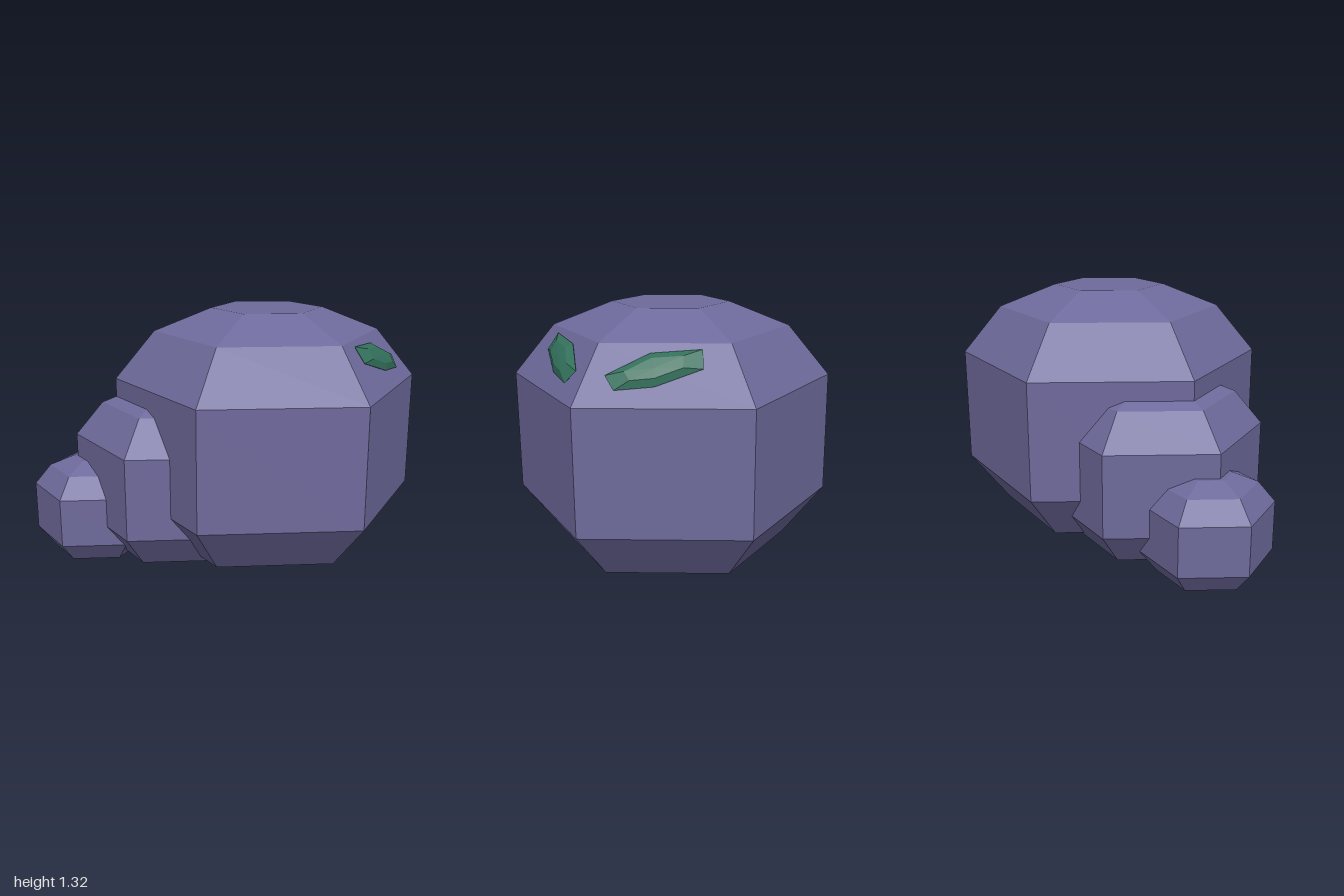
import * as THREE from 'three';

const skin = new THREE.MeshStandardMaterial({ color: 0x6e6a9c, flatShading: true });
const green = new THREE.MeshStandardMaterial({ color: 0x33705c, flatShading: true });

// Profile of the largest segment: [radius, height]; the others are scaled copies
const PROFILE = [[0, 0], [0.285, 0], [0.575, 0.117], [0.778, 0.365],
  [0.778, 0.96], [0.575, 1.205], [0.285, 1.32], [0, 1.32]];
const HEAD_X = 0.222;

function segment(name, x, scale) {
  const points = PROFILE.map(([r, y]) => new THREE.Vector2(r, y));
  const mesh = new THREE.Mesh(new THREE.LatheGeometry(points, 6, Math.PI / 2), skin);
  mesh.name = name;
  mesh.scale.setScalar(scale);
  mesh.position.x = x;
  return mesh;
}

// Eye outline as [z, y], lying on the sloping upper face of the head
const EYE = [[0.4, 1.18], [0.43, 1.105], [0.275, 1.038], [0.13, 1.024], [0.075, 1.08], [0.21, 1.165]];

function eye(name, side) {
  const n = EYE.length;
  const mid = [0.25, 1.1];
  // A point on the head face, lifted along the face normal
  const onFace = ([z, y], shrink, lift) => {
    z = mid[0] + (z - mid[0]) * shrink;
    y = mid[1] + (y - mid[1]) * shrink;
    const reach = 0.674 - (y - 0.96) * 0.718;
    const x = HEAD_X + (reach - z * 0.5) / 0.866;
    return [x + lift * 0.703, y + lift * 0.583, side * (z + lift * 0.406)];
  };
  // Loops from the buried back to the raised front
  const loops = [[0.7, -0.025], [1, 0.005], [0.6, 0.026]];
  const positions = loops.flatMap(([s, l]) => EYE.flatMap((p) => onFace(p, s, l)));
  positions.push(...onFace(mid, 1, -0.025), ...onFace(mid, 1, 0.03));
  const index = [];
  const tri = (a, b, c) => index.push(...(side > 0 ? [a, b, c] : [a, c, b]));
  const back = loops.length * n, front = back + 1, last = (loops.length - 1) * n;
  for (let i = 0; i < n; i++) {
    const j = (i + 1) % n;
    for (let k = 0; k < last; k += n) {
      tri(k + i, k + j, k + n + j);
      tri(k + i, k + n + j, k + n + i);
    }
    tri(back, j, i);
    tri(front, last + i, last + j);
  }
  const geometry = new THREE.BufferGeometry();
  geometry.setAttribute('position', new THREE.Float32BufferAttribute(positions, 3));
  geometry.setIndex(index);
  geometry.computeVertexNormals();
  const mesh = new THREE.Mesh(geometry, green);
  mesh.name = name;
  return mesh;
}

export function createModel() {
  const model = new THREE.Group();
  model.name = 'segmentedCreature';
  model.add(
    segment('head', HEAD_X, 1),
    segment('middleSegment', -0.23, 0.694),
    segment('tailSegment', -0.677, 0.415),
    eye('eyeFront', 1),
    eye('eyeBack', -1),
  );
  return model;
}
